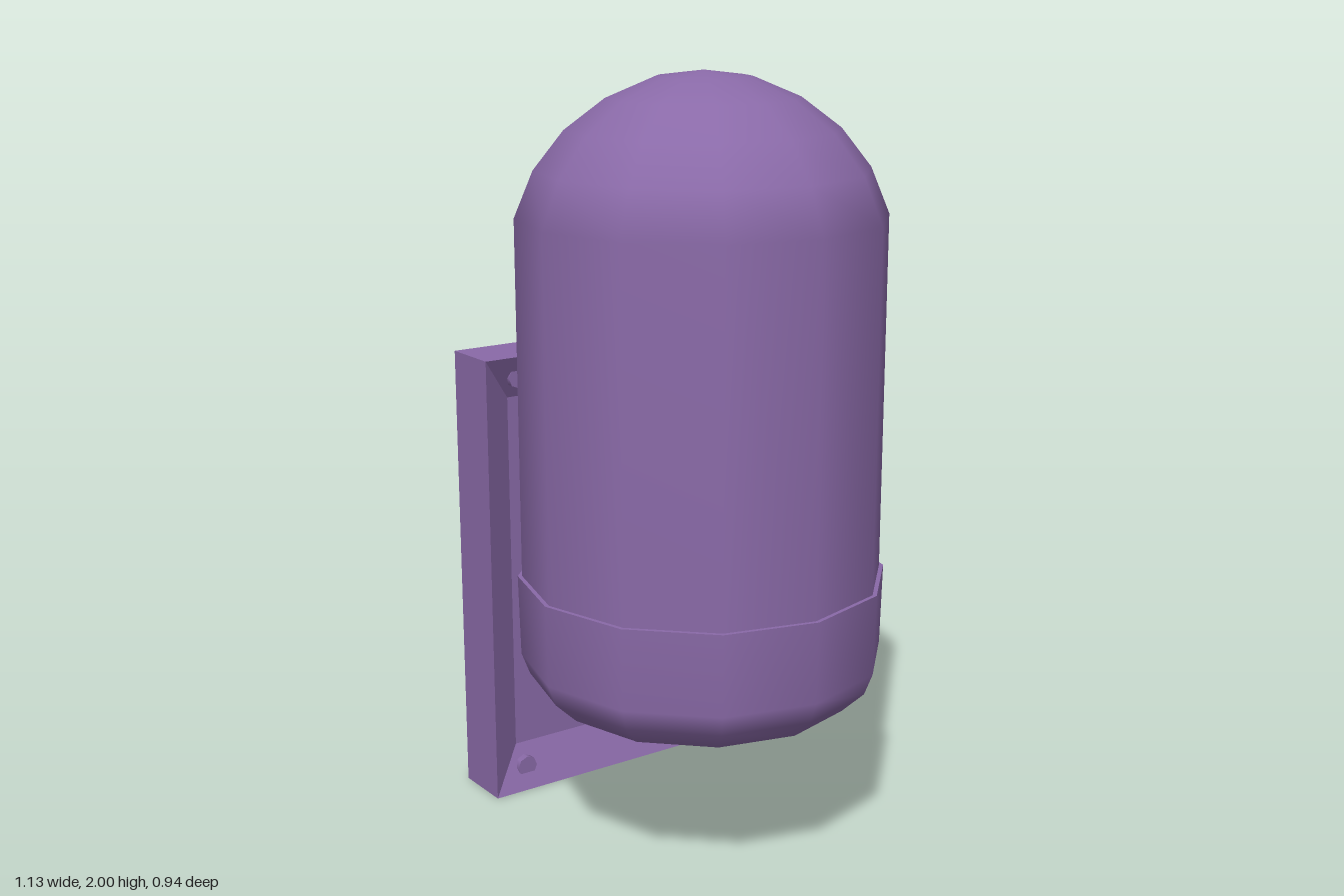
import * as THREE from 'three';

const SIDES = 12;

// Skin a series of rectangles [x, yMin, yMax, halfZ], capped at both ends, with flat faces
function rectLoft(loops) {
  const rings = loops.map(([x, y0, y1, z]) => [[x, y0, -z], [x, y0, z], [x, y1, z], [x, y1, -z]]);
  const pos = [];
  const quad = (a, b, c, d) => [a, b, c, a, c, d].forEach((p) => pos.push(...p));
  quad(...rings[0]);
  for (let i = 0; i < rings.length - 1; i++) {
    const a = rings[i], b = rings[i + 1];
    for (let k = 0; k < 4; k++) {
      const n = (k + 1) % 4;
      quad(a[k], b[k], b[n], a[n]);
    }
  }
  quad(...[...rings[rings.length - 1]].reverse());
  const geo = new THREE.BufferGeometry();
  geo.setAttribute('position', new THREE.Float32BufferAttribute(pos, 3));
  geo.computeVertexNormals();
  return geo;
}

const lathe = (pts) => new THREE.LatheGeometry(pts.map(([r, y]) => new THREE.Vector2(r, y)), SIDES);

export function createModel() {
  const model = new THREE.Group();
  const purple = new THREE.MeshStandardMaterial({ color: 0x8a6aa8 });
  purple.name = 'purple';

  const add = (name, geo, parent = model) => {
    const mesh = new THREE.Mesh(geo, purple);
    mesh.name = name;
    parent.add(mesh);
    return mesh;
  };

  // Lamp body: domed shade standing in a shallow cup
  const lamp = new THREE.Group();
  lamp.name = 'lamp';
  lamp.position.x = 0.093;
  model.add(lamp);
  add('shade', lathe([[0.46, 0.73], [0.46, 1.65], [0.412, 1.765], [0.337, 1.86],
    [0.237, 1.935], [0.118, 1.985], [0, 2]]), lamp);
  add('cupWall', lathe([[0.387, 0.42], [0.445, 0.475], [0.466, 0.53], [0.471, 0.74]]), lamp);
  add('cupRim', lathe([[0.471, 0.74], [0.455, 0.74]]), lamp);
  add('cupBottom', lathe([[0, 0.42], [0.387, 0.42]]), lamp);

  // Wall plate: sloped recess on both faces around a thin centre panel
  add('wallPlate', rectLoft([
    [-0.472, 0.085, 1.155, 0.257],
    [-0.57, 0, 1.24, 0.335],
    [-0.405, 0, 1.24, 0.335],
    [-0.462, 0.12, 1.12, 0.24],
  ]));

  // Arm: runs through the plate, with a shallow pocket in its back end
  add('arm', rectLoft([
    [-0.477, 0.54, 0.7, 0.12],
    [-0.52, 0.515, 0.725, 0.14],
    [-0.25, 0.515, 0.725, 0.14],
  ]));

  // Screws in the four corners of the plate
  for (const y of [0.06, 1.18]) {
    for (const z of [-0.225, 0.225]) {
      const screw = add('screw', new THREE.CylinderGeometry(0.03, 0.03, 0.085, 8));
      screw.rotation.z = Math.PI / 2;
      screw.position.set(-0.4675, y, z);
    }
  }
  return model;
}
